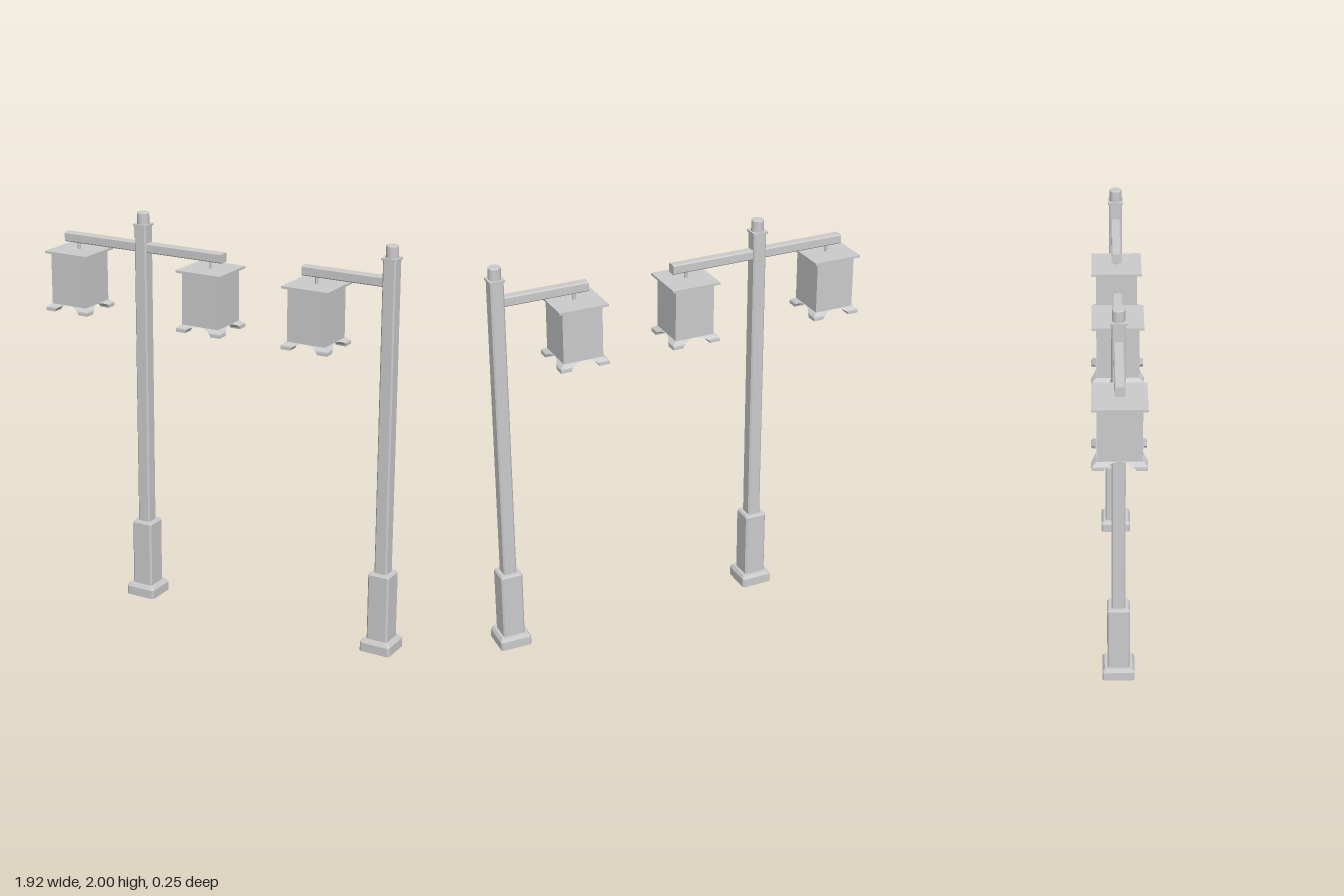
import * as THREE from 'three';

const mat = new THREE.MeshStandardMaterial({ color: 0xcccccc, flatShading: true });

function add(parent, geometry, name, x = 0, y = 0, z = 0) {
  const m = new THREE.Mesh(geometry, mat);
  m.name = name;
  m.position.set(x, y, z);
  parent.add(m);
  return m;
}

// Joins equal-length rings of points (counter-clockwise from above, bottom to top) into a closed solid
function loft(rings) {
  const n = rings[0].length, idx = [];
  for (let r = 0; r < rings.length - 1; r++) {
    for (let i = 0; i < n; i++) {
      const a = r * n + i, b = r * n + (i + 1) % n;
      idx.push(a, b, b + n, a, b + n, a + n);
    }
  }
  const top = (rings.length - 1) * n;
  for (let i = 1; i < n - 1; i++) {
    idx.push(0, i + 1, i, top, top + i, top + i + 1);
  }
  const g = new THREE.BufferGeometry();
  g.setAttribute('position', new THREE.Float32BufferAttribute(rings.flat(2), 3));
  g.setIndex(idx);
  const flat = g.toNonIndexed();
  flat.computeVertexNormals();
  return flat;
}

// Square ring with cut corners: half-width h, corner cut c, height y
function ring(h, c, y) {
  const k = h - c;
  return [[h, y, k], [h, y, -k], [k, y, -h], [-k, y, -h], [-h, y, -k], [-h, y, k], [-k, y, h], [k, y, h]];
}

const post = (...levels) => loft(levels.map(l => ring(...l)));

// Corner foot: flared outside, arched on both inner sides
function cornerFoot() {
  const rings = [], H = 0.034, steps = 8;
  for (let i = 0; i <= steps; i++) {
    const angle = (i / steps) * Math.PI / 2;
    const y = H * Math.sin(angle);
    const a = 0.07 * Math.cos(angle);
    const o = y < 0.018 ? 0.1225 : 0.1225 - 0.02 * (y - 0.018) / (H - 0.018);
    rings.push([[o, y, o], [o, y, a], [a, y, a], [a, y, o]]);
  }
  return loft(rings);
}

function lantern(x) {
  const g = new THREE.Group();
  g.name = 'lantern';
  g.position.x = x;
  add(g, new THREE.BoxGeometry(0.2, 0.265, 0.2), 'lanternBody', 0, 1.63, 0);
  add(g, new THREE.BoxGeometry(0.245, 0.011, 0.245), 'lanternRoof', 0, 1.763, 0);
  add(g, new THREE.CylinderGeometry(0.008, 0.008, 0.05, 10), 'hangerRod', 0, 1.79, 0);
  const foot = cornerFoot();
  for (let i = 0; i < 4; i++) {
    add(g, foot, 'lanternFoot', 0, 1.465, 0).rotation.y = i * Math.PI / 2;
  }
  return g;
}

function lampPost(x, armFrom, armTo, lanternXs) {
  const g = new THREE.Group();
  g.name = 'lampPost';
  g.position.x = x;
  add(g, post([0.079, 0.008, 0], [0.079, 0.008, 0.045], [0.068, 0.008, 0.062]), 'foot');
  add(g, post([0.055, 0.008, 0.05], [0.055, 0.008, 0.393], [0.049, 0.006, 0.402]), 'plinth');
  add(g, post([0.033, 0.007, 0.39], [0.033, 0.007, 1.94]), 'pole');
  add(g, post([0.038, 0.004, 1.932], [0.038, 0.004, 1.942]), 'collar');
  // Round cap with a small bevel
  add(g, new THREE.CylinderGeometry(0.03, 0.03, 0.055, 20), 'cap', 0, 1.9675, 0);
  add(g, new THREE.CylinderGeometry(0.026, 0.03, 0.005, 20), 'capBevel', 0, 1.9975, 0);
  // Cross arm lying along x
  const half = (armTo - armFrom) / 2;
  const arm = post([0.0235, 0.005, -half], [0.0235, 0.005, half]);
  add(g, arm, 'arm', (armFrom + armTo) / 2, 1.827, 0).rotation.z = -Math.PI / 2;
  lanternXs.forEach(lx => g.add(lantern(lx)));
  return g;
}

export function createModel() {
  const model = new THREE.Group();
  model.name = 'lampPosts';
  model.add(lampPost(-0.46, -0.45, 0.455, [-0.38, 0.38]));
  model.add(lampPost(0.876, -0.45, 0, [-0.382]));
  return model;
}
